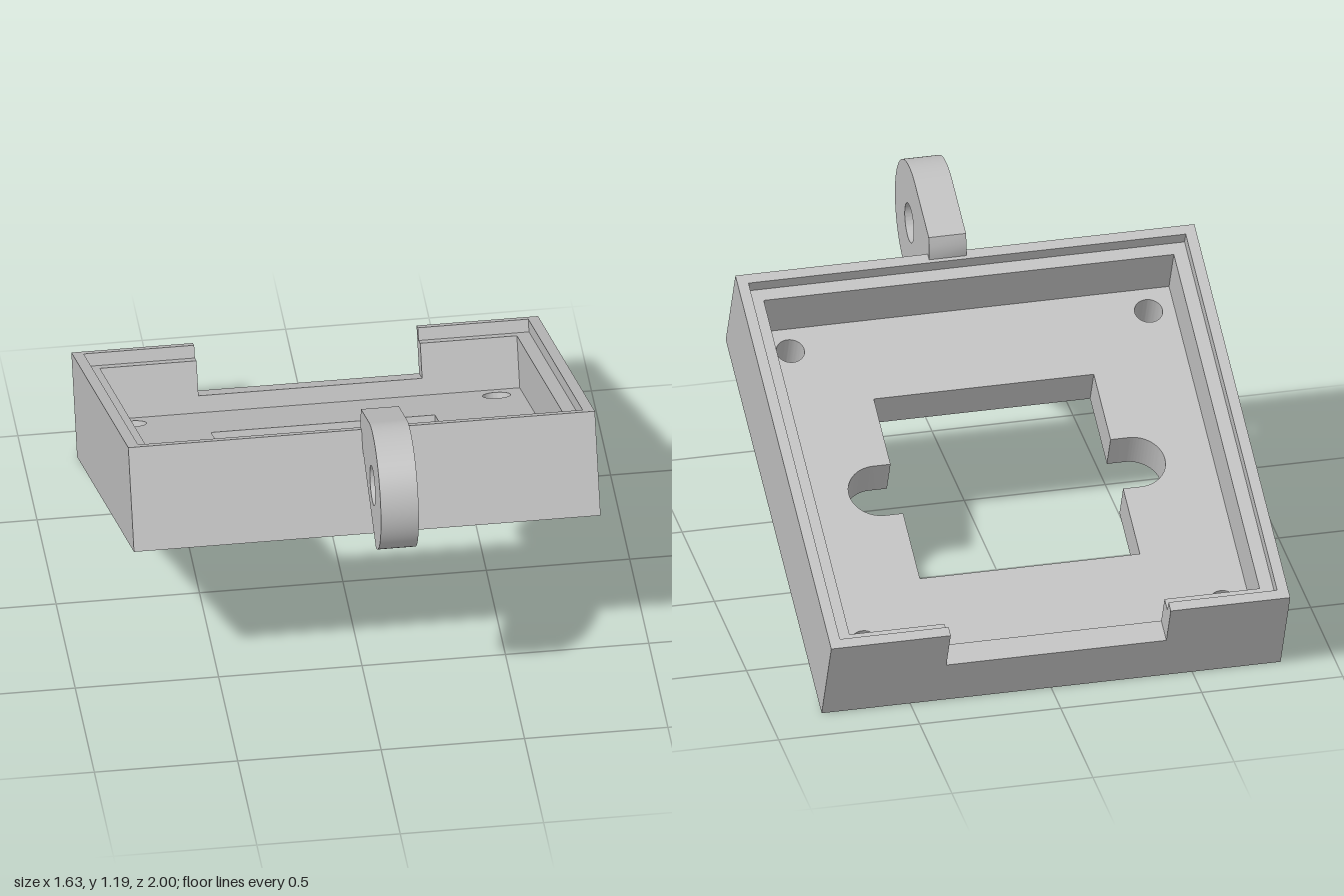
import * as THREE from 'three';
import { toCreasedNormals } from 'three/addons/utils/BufferGeometryUtils.js';

const W = 0.8135, L = 0.815;          // half width and half length of the tray
const FLOOR = 0.14, NOTCH = 0.2, LEDGE = 0.324, TOP = 0.369;
const OPENING = 0.39;                 // half width of window and cable notch

const polygon = (pts) => new THREE.Shape(pts.map(([x, y]) => new THREE.Vector2(x, y)));
const rectangle = (w, l) => polygon([[-w, -l], [w, -l], [w, l], [-w, l]]);
const circle = (x, y, r) => new THREE.Path().absarc(x, y, r, 0, Math.PI * 2, true);

export function createModel() {
  const grey = new THREE.MeshStandardMaterial({ color: 0xc0c0c0 });
  grey.name = 'lightGrey';

  const model = new THREE.Group();
  model.name = 'tiltedTray';
  const tray = new THREE.Group();
  tray.name = 'tray';
  tray.rotation.x = -THREE.MathUtils.degToRad(24);
  tray.position.set(0, 0.3315, -0.1055);
  model.add(tray);

  const extrude = (shape, depth) =>
    new THREE.ExtrudeGeometry(shape, { depth, bevelEnabled: false, curveSegments: 32 });
  const add = (name, geometry) => {
    const mesh = new THREE.Mesh(toCreasedNormals(geometry, 0.5), grey);
    mesh.name = name;
    tray.add(mesh);
  };
  // Horizontal slab of the tray between two heights; shape +y is the back
  const addLayer = (name, shape, from, to) =>
    add(name, extrude(shape, to - from).rotateX(-Math.PI / 2).translate(0, from, 0));

  // Floor: square window with a rounded slot each side, and four screw holes
  const floor = rectangle(W, L);
  const r = 0.107, slotX = 0.453, h = 0.392;
  const win = new THREE.Path();
  win.moveTo(-OPENING, -h);
  win.lineTo(OPENING, -h);
  win.lineTo(OPENING, -r);
  win.absarc(slotX, 0, r, -Math.PI / 2, Math.PI / 2, false);
  win.lineTo(OPENING, r);
  win.lineTo(OPENING, h);
  win.lineTo(-OPENING, h);
  win.lineTo(-OPENING, r);
  win.absarc(-slotX, 0, r, Math.PI / 2, Math.PI * 1.5, false);
  win.lineTo(-OPENING, -r);
  floor.holes.push(win);
  for (const x of [-0.635, 0.635]) {
    for (const y of [-0.635, 0.635]) floor.holes.push(circle(x, y, 0.049));
  }
  addLayer('floor', floor, 0, FLOOR);

  // Lower wall, closed all round
  const ring = rectangle(W, L);
  ring.holes.push(rectangle(0.727, 0.729));
  addLayer('lowerWall', ring, FLOOR, NOTCH);

  // Upper walls, open at the notch in the back; the thinner rim leaves a ledge
  const notchedWall = (ix, iy) => polygon([
    [OPENING, L], [W, L], [W, -L], [-W, -L], [-W, L], [-OPENING, L],
    [-OPENING, iy], [-ix, iy], [-ix, -iy], [ix, -iy], [ix, iy], [OPENING, iy],
  ]);
  addLayer('upperWall', notchedWall(0.727, 0.729), NOTCH, LEDGE);
  addLayer('rim', notchedWall(0.775, 0.777), LEDGE, TOP);

  // Hinge lug on the front, hooked over the rim
  const lug = new THREE.Shape();
  lug.moveTo(L, 0);
  lug.absarc(1.063, 0.222, 0.222, -Math.PI / 2, Math.PI / 2, false);
  for (const [z, y] of [[0.83, 0.444], [0.809, 0.415], [0.79, TOP], [0.79, 0.3], [L, 0.3]]) lug.lineTo(z, y);
  lug.holes.push(circle(1.063, 0.222, 0.07));
  add('hingeLug', extrude(lug, 0.132).rotateY(-Math.PI / 2).translate(0.132, 0, 0));

  return model;
}
